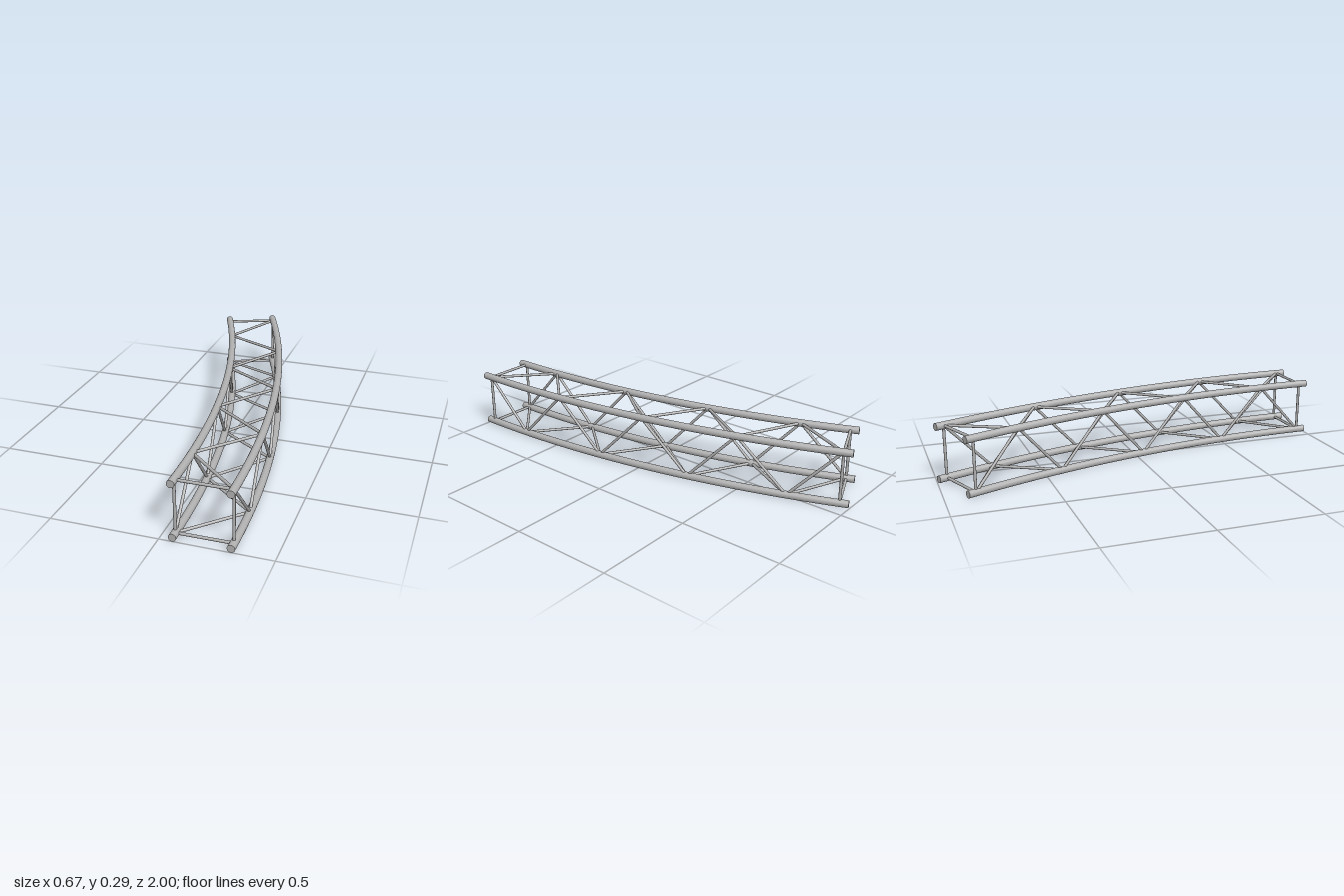
import * as THREE from 'three';

const TUBE = 0.0178, ROD = 0.007, SIZE = 0.254;   // chord radius, brace radius, truss width
const OUTER = 5.209, INNER = OUTER - SIZE;        // bend radii
const SWEEP = Math.PI / 8;                        // 22.5 degree bend
const CENTRE_X = 0.314 - OUTER;                   // bend centre lies at z = 1
const LOW = TUBE, HIGH = TUBE + SIZE;
const BAYS = 8, INSET = THREE.MathUtils.degToRad(0.47);

// Point on the bend at a given radius, angle and height
const onArc = (r, a, y) =>
  new THREE.Vector3(CENTRE_X + r * Math.cos(a), y, 1 - r * Math.sin(a));

class ArcCurve extends THREE.Curve {
  constructor(r, y) { super(); this.r = r; this.y = y; }
  getPoint(t, target = new THREE.Vector3()) {
    return target.copy(onArc(this.r, t * SWEEP, this.y));
  }
}

export function createModel() {
  const truss = new THREE.Group();
  truss.name = 'curvedBoxTruss';
  const metal = new THREE.MeshStandardMaterial({ color: 0xb0b0b0 });
  metal.name = 'grey metal';

  // Four main chords with closed ends
  const addChord = (name, r, y) => {
    const chord = new THREE.Group();
    chord.name = name;
    const tube = new THREE.Mesh(
      new THREE.TubeGeometry(new ArcCurve(r, y), 32, TUBE, 20, false), metal);
    tube.name = name + 'Tube';
    chord.add(tube);
    for (const [end, angle, turn] of [['Front', 0, 0], ['Back', SWEEP, Math.PI + SWEEP]]) {
      const cap = new THREE.Mesh(new THREE.CircleGeometry(TUBE, 20), metal);
      cap.name = name + end + 'Cap';
      cap.position.copy(onArc(r, angle, y));
      cap.rotation.y = turn;
      chord.add(cap);
    }
    truss.add(chord);
  };
  addChord('outerTopChord', OUTER, HIGH);
  addChord('outerBottomChord', OUTER, LOW);
  addChord('innerTopChord', INNER, HIGH);
  addChord('innerBottomChord', INNER, LOW);

  // Thin brace between two points
  const addRod = (name, a, b) => {
    const rod = new THREE.Mesh(
      new THREE.CylinderGeometry(ROD, ROD, a.distanceTo(b), 12, 1, true), metal);
    rod.name = name;
    rod.position.copy(a).lerp(b, 0.5);
    rod.quaternion.setFromUnitVectors(
      new THREE.Vector3(0, 1, 0), b.clone().sub(a).normalize());
    truss.add(rod);
  };
  const node = (r, k, y) => onArc(r, INSET + (SWEEP - 2 * INSET) * k / BAYS, y);

  // Square frame at each end
  for (const k of [0, BAYS]) {
    for (const r of [INNER, OUTER]) addRod('endPost', node(r, k, LOW), node(r, k, HIGH));
    for (const y of [LOW, HIGH]) addRod('endCrossbar', node(INNER, k, y), node(OUTER, k, y));
  }

  // Zigzag braces on all four sides, meeting at shared nodes
  for (let k = 0; k < BAYS; k++) {
    const even = k % 2 === 0;
    const [y0, y1] = even ? [HIGH, LOW] : [LOW, HIGH];
    const [r0, r1] = even ? [OUTER, INNER] : [INNER, OUTER];
    addRod('outerBrace', node(OUTER, k, y0), node(OUTER, k + 1, y1));
    addRod('innerBrace', node(INNER, k, y1), node(INNER, k + 1, y0));
    addRod('topBrace', node(r0, k, HIGH), node(r1, k + 1, HIGH));
    addRod('bottomBrace', node(r1, k, LOW), node(r0, k + 1, LOW));
  }
  return truss;
}
